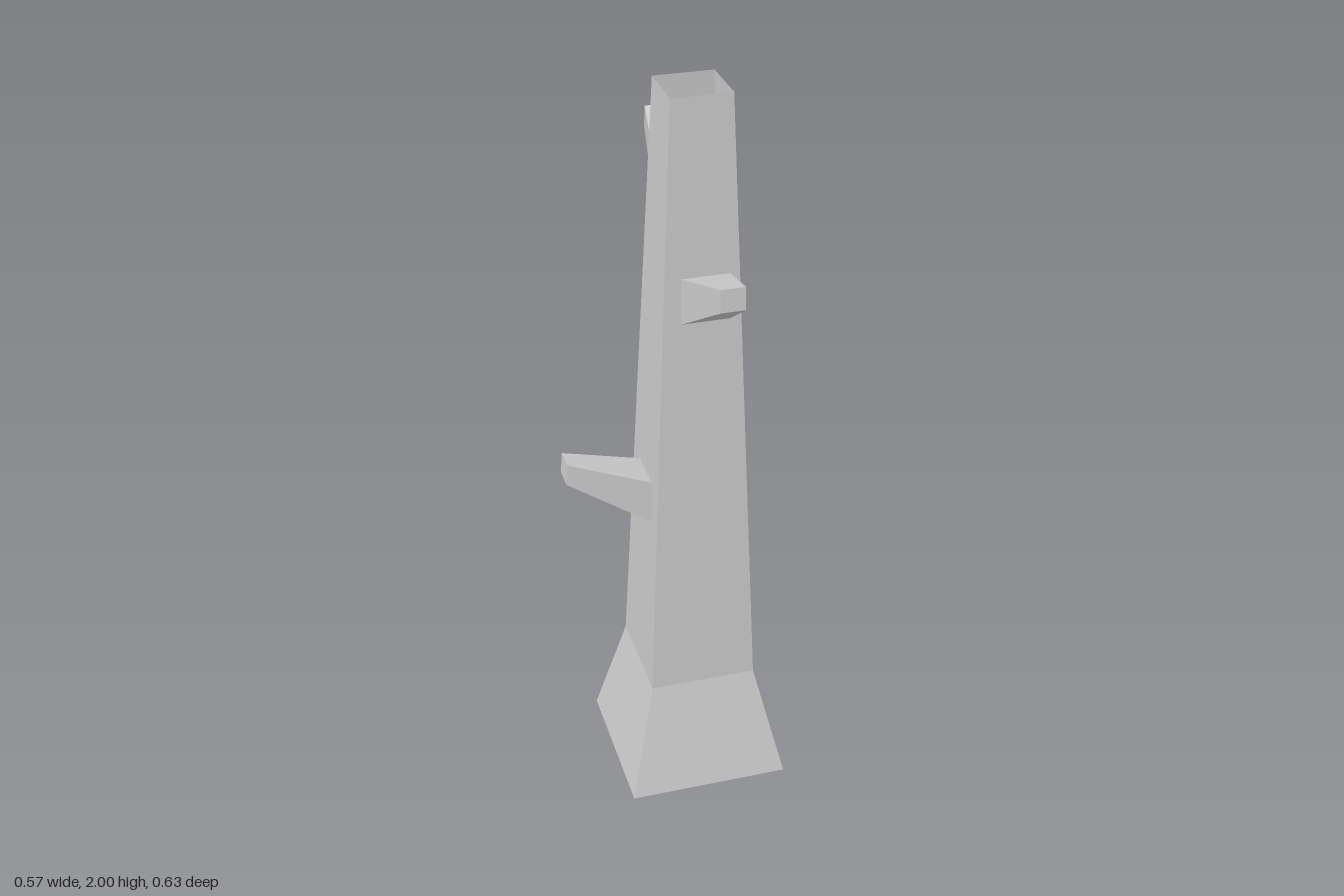
import * as THREE from 'three';

// Joins four-cornered rings (counter-clockwise seen from the end) into a flat-sided solid.
function loft(rings, capStart, capEnd) {
  const index = [];
  for (let r = 0; r < rings.length - 1; r++) {
    for (let i = 0; i < 4; i++) {
      const a = r * 4 + i, b = r * 4 + (i + 1) % 4;
      index.push(a, b, b + 4, a, b + 4, a + 4);
    }
  }
  const e = (rings.length - 1) * 4;
  if (capStart) index.push(0, 2, 1, 0, 3, 2);
  if (capEnd) index.push(e, e + 1, e + 2, e, e + 2, e + 3);
  const indexed = new THREE.BufferGeometry();
  indexed.setAttribute('position', new THREE.Float32BufferAttribute(rings.flat(2), 3));
  indexed.setIndex(index);
  const geometry = indexed.toNonIndexed();
  geometry.computeVertexNormals();
  return geometry;
}

// Square ring lying level at height y
const levelRing = (y, h) => [[-h, y, h], [h, y, h], [h, y, -h], [-h, y, -h]];

// Upright rectangular ring; the lower and upper edges may sit at different depths
const uprightRing = (h, y0, z0, y1, z1) => [[-h, y0, z0], [h, y0, z0], [h, y1, z1], [-h, y1, z1]];

export function createModel() {
  const group = new THREE.Group();
  const bark = new THREE.MeshStandardMaterial({ color: 0xcccccc, side: THREE.DoubleSide });
  bark.name = 'greyBark';

  // Hollow trunk: flared foot, long taper, open top
  const trunk = new THREE.Mesh(
    loft([levelRing(0, 0.221), levelRing(0.322, 0.146), levelRing(2, 0.078)], true, false), bark);
  trunk.name = 'trunk';
  trunk.position.set(0.061, 0, -0.006);
  group.add(trunk);

  // Branch stubs: tapered and angled upward
  const stub = loft([
    uprightRing(0.063, 0, 0, 0.125, 0),
    uprightRing(0.0315, 0.138, 0.222, 0.197, 0.218),
  ], true, true);
  const branches = [
    ['frontBranch', 0.069, 1.418, 0.092, 0],
    ['backBranch', 0.057, 1.64, -0.094, Math.PI],
    ['rightBranch', -0.062, 0.822, 0, -Math.PI / 2],
  ];
  for (const [name, x, y, z, turn] of branches) {
    const branch = new THREE.Mesh(stub, bark);
    branch.name = name;
    branch.position.set(x, y, z);
    branch.rotation.y = turn;
    group.add(branch);
  }
  return group;
}
